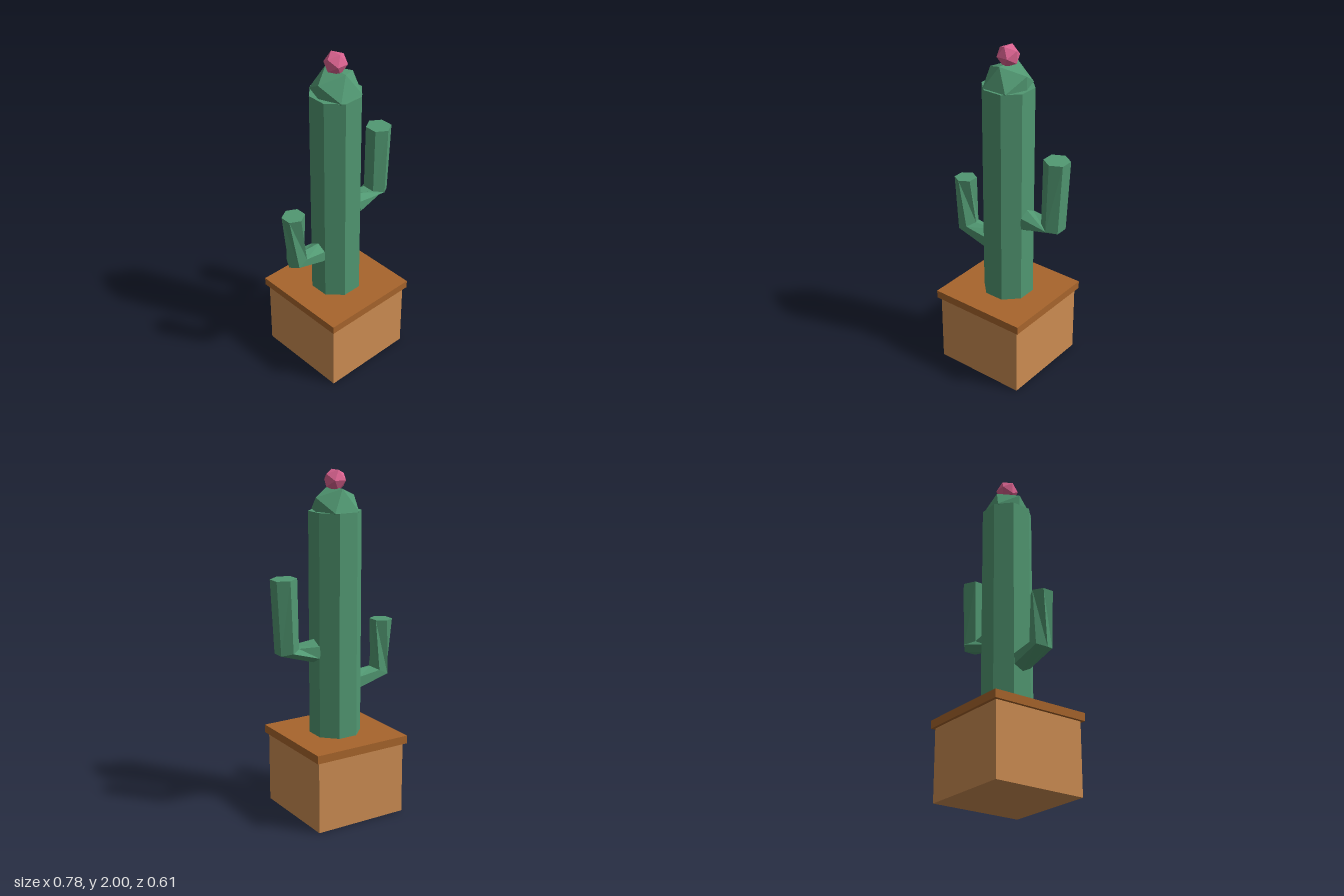
import * as THREE from 'three';

const mat = (name, color) => {
  const m = new THREE.MeshStandardMaterial({ color, flatShading: true });
  m.name = name;
  return m;
};

// Hexagonal cross-section: u points to the inner (or upper) side, z is the half depth
function ring(cx, cy, ux, uy, rz, phase) {
  return Array.from({ length: 6 }, (_, k) => {
    const a = (k * 60 + phase) * Math.PI / 180;
    return [cx + Math.cos(a) * ux, cy + Math.cos(a) * uy, -Math.sin(a) * rz];
  });
}

// Skin of triangles over successive rings, closed at both ends
function loft(rings, flip) {
  const pos = [];
  const tri = (a, b, c) => pos.push(...a, ...(flip ? c : b), ...(flip ? b : c));
  for (let i = 0; i < rings.length - 1; i++) {
    const lo = rings[i], hi = rings[i + 1];
    for (let k = 0; k < 6; k++) {
      const n = (k + 1) % 6;
      tri(lo[k], lo[n], hi[k]);
      tri(lo[n], hi[n], hi[k]);
    }
  }
  const first = rings[0], last = rings[rings.length - 1];
  for (let k = 1; k < 5; k++) {
    tri(last[0], last[k], last[k + 1]);
    tri(first[0], first[k + 1], first[k]);
  }
  const g = new THREE.BufferGeometry();
  g.setAttribute('position', new THREE.Float32BufferAttribute(pos, 3));
  g.computeVertexNormals();
  return g;
}

export function createModel() {
  const group = new THREE.Group();
  group.name = 'pottedCactus';
  const clay = mat('clay', 0xcd8d52);
  const rimBrown = mat('rimBrown', 0xa8652c);
  const green = mat('cactusGreen', 0x519872);
  const pink = mat('flowerPink', 0xd9628f);
  const axis = -0.0125; // the trunk and pot sit slightly off centre

  const add = (name, geometry, material, x = 0, y = 0) => {
    const mesh = new THREE.Mesh(geometry, material);
    mesh.name = name;
    mesh.position.set(x, y, 0);
    group.add(mesh);
    return mesh;
  };

  // Pot and its lid-like rim
  add('pot', new THREE.BoxGeometry(0.572, 0.43, 0.572), clay, axis, 0.215);
  add('potRim', new THREE.BoxGeometry(0.608, 0.048, 0.608), rimBrown, axis, 0.451);

  // Eight-sided trunk with a faceted crown and flower
  add('trunk', new THREE.CylinderGeometry(0.1515, 0.1515, 1.3, 8, 1, false, Math.PI / 8), green, axis, 1.125);
  add('crown', new THREE.IcosahedronGeometry(0.148, 0).rotateY(Math.PI / 2), green, axis, 1.775);
  add('flower', new THREE.IcosahedronGeometry(0.067, 0).rotateY(Math.PI / 2), pink, axis, 1.943);

  // Bent arms: root, elbow, tip
  add('leftArm', loft([
    ring(0.122, 0.985, -0.012, 0.07, 0.071, 0),
    ring(0.308, 1.007, -0.066, 0.016, 0.077, -30),
    ring(0.323, 1.422, -0.075, 0.003, 0.077, -30),
  ], true), green);
  add('rightArm', loft([
    ring(-0.15, 0.763, 0.008, 0.063, 0.065, 0),
    ring(-0.318, 0.8, 0.058, 0.03, 0.065, 0),
    ring(-0.333, 1.113, 0.067, 0.002, 0.066, -30),
  ], false), green);

  return group;
}
